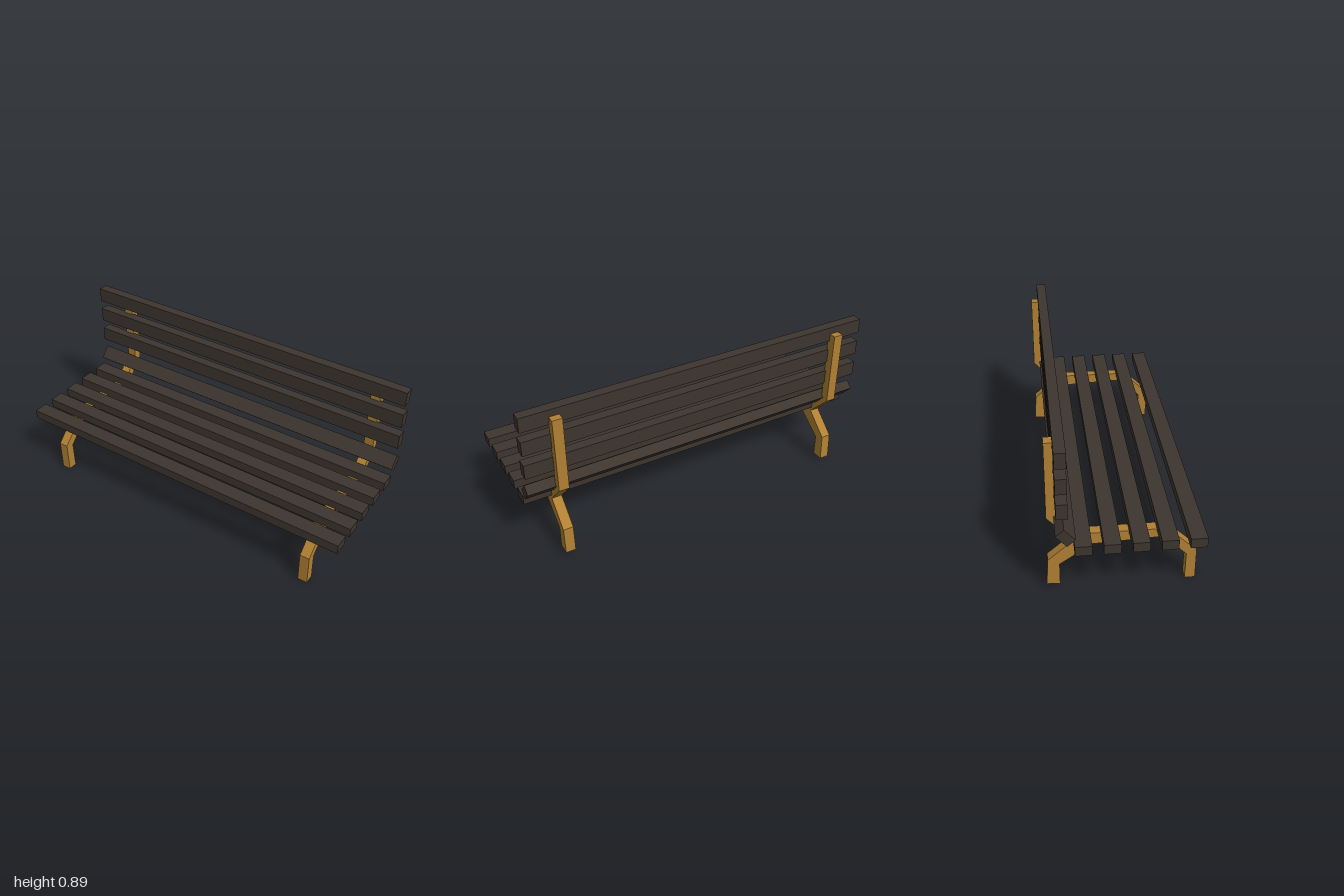
import * as THREE from 'three';

export function createModel() {
  const bench = new THREE.Group();
  bench.name = 'bench';
  const darkWood = new THREE.MeshStandardMaterial({ color: 0x3d352e });
  darkWood.name = 'dark wood';
  const ochre = new THREE.MeshStandardMaterial({ color: 0xb08034 });
  ochre.name = 'ochre frame';

  // Side frame outline as [z, y]: front leg, seat rail, backrest post, rear leg
  const outline = [
    [0.368, 0], [0.368, 0.177], [0.215, 0.325], [-0.204, 0.327],
    [-0.322, 0.452], [-0.318, 0.853], [-0.37, 0.853], [-0.372, 0.433],
    [-0.242, 0.292], [-0.373, 0.177], [-0.381, 0.026], [-0.315, 0.023],
    [-0.315, 0.147], [-0.153, 0.261], [0.194, 0.277], [0.317, 0.155], [0.315, 0],
  ];
  const frameWidth = 0.054;
  const shape = new THREE.Shape(outline.map(([z, y]) => new THREE.Vector2(z, y)));
  const frameGeometry = new THREE.ExtrudeGeometry(shape, { depth: frameWidth, bevelEnabled: false });
  frameGeometry.translate(0, 0, -frameWidth / 2).rotateY(-Math.PI / 2);
  for (const side of [1, -1]) {
    const frame = new THREE.Mesh(frameGeometry, ochre);
    frame.name = side > 0 ? 'leftFrame' : 'rightFrame';
    frame.position.x = side * 0.823;
    bench.add(frame);
  }

  // Full-width slats
  function addSlat(name, geometry, y, z, tilt = 0) {
    const slat = new THREE.Mesh(geometry, darkWood);
    slat.name = name;
    slat.position.set(0, y, z);
    slat.rotation.x = tilt;
    bench.add(slat);
  }

  const seatSlat = new THREE.BoxGeometry(2, 0.053, 0.082);
  for (let i = 0; i < 5; i++) addSlat(`seatSlat${i + 1}`, seatSlat, 0.3435, 0.341 - i * 0.137);

  const backSlat = new THREE.BoxGeometry(2, 0.082, 0.055);
  [0.577, 0.715, 0.851].forEach((y, i) => addSlat(`backSlat${i + 1}`, backSlat, y, -0.303));
  // Leaning slat where the seat turns into the backrest
  addSlat('lumbarSlat', backSlat, 0.427, -0.289, -0.725);

  return bench;
}
